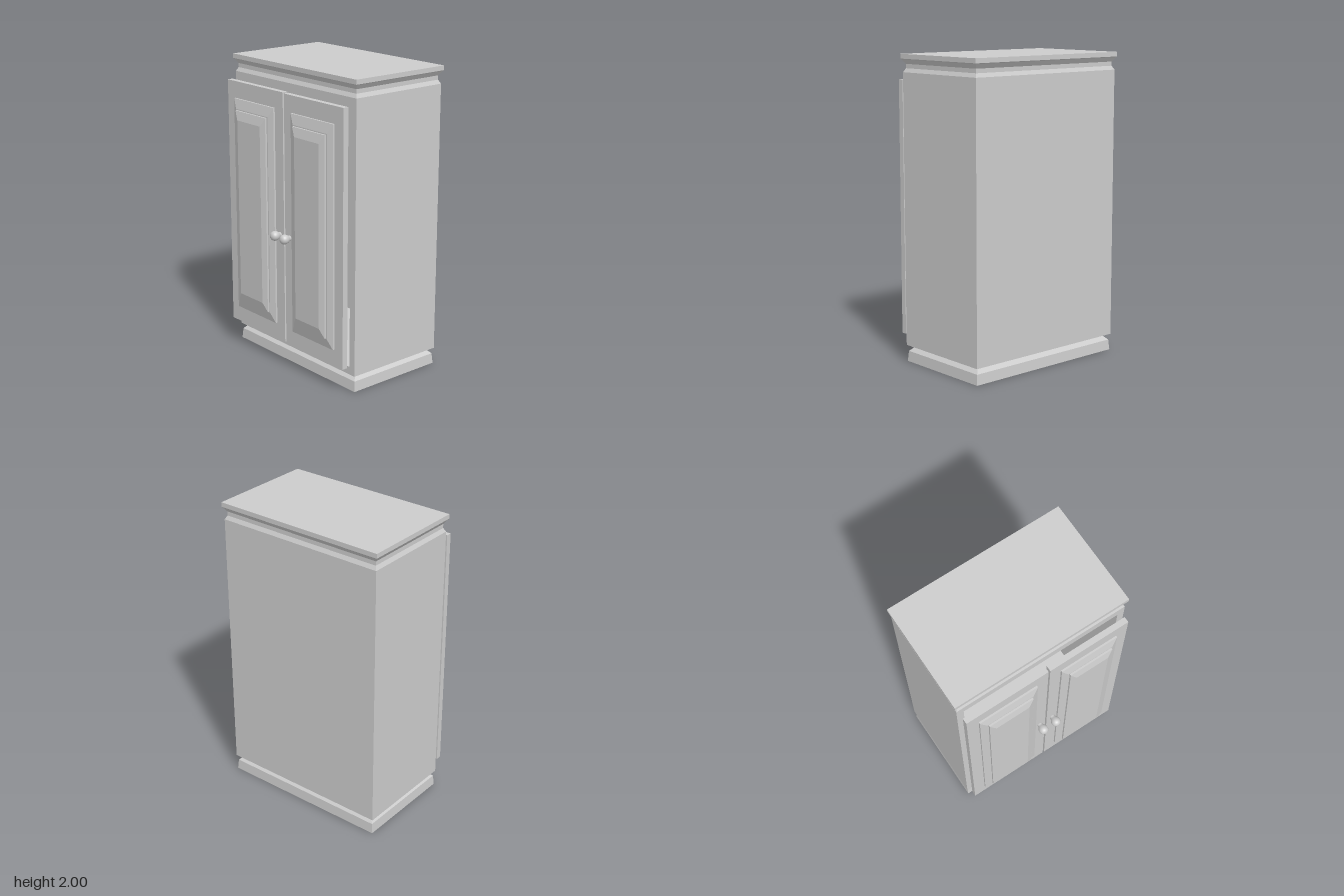
import * as THREE from 'three';

const material = new THREE.MeshStandardMaterial({ color: 0xcccccc });
const CENTRE_Z = -0.073, HALF_X = 0.593, HALF_Z = 0.353;

function mesh(name, geometry, parent) {
  const m = new THREE.Mesh(geometry, material);
  m.name = name;
  parent.add(m);
  return m;
}

// Closed, flat-shaded stack of rectangles; each ring is [halfX, y, halfZ]
function loft(rings) {
  const corners = rings.map(([x, y, z]) => [[x, y, z], [x, y, -z], [-x, y, -z], [-x, y, z]]);
  const pos = [];
  const quad = (a, b, c, d) => pos.push(...a, ...b, ...c, ...a, ...c, ...d);
  for (let r = 0; r < corners.length - 1; r++) {
    const low = corners[r], up = corners[r + 1];
    for (let i = 0; i < 4; i++) {
      const j = (i + 1) % 4;
      quad(low[i], low[j], up[j], up[i]);
    }
  }
  const first = corners[0], last = corners[corners.length - 1];
  quad(...last);
  quad(...[...first].reverse());
  const g = new THREE.BufferGeometry();
  g.setAttribute('position', new THREE.Float32BufferAttribute(pos, 3));
  g.computeVertexNormals();
  return g;
}

// Moulding running round the cabinet; profile points are [outward offset, y]
function moulding(name, profile, parent) {
  const g = loft(profile.map(([d, y]) => [HALF_X + d, y, HALF_Z + d]));
  mesh(name, g, parent).position.z = CENTRE_Z;
}

function rectangle(PathType, x0, y0, x1, y1) {
  return new PathType([
    new THREE.Vector2(x0, y0), new THREE.Vector2(x1, y0),
    new THREE.Vector2(x1, y1), new THREE.Vector2(x0, y1),
  ]);
}

// Door slab with two stepped, bevelled panels
function makeDoor(name, x, y, widthScale) {
  const door = new THREE.Group();
  door.name = name;
  const layer = (part, rings) => mesh(part, loft(rings).rotateX(Math.PI / 2), door);
  layer('doorSlab', [[0.286, 0.32, 0.833], [0.286, 0.358, 0.833]]);
  layer('outerPanel', [
    [0.205, 0.356, 0.723], [0.205, 0.37, 0.723], [0.165, 0.386, 0.66],
  ]);
  layer('innerPanel', [
    [0.156, 0.384, 0.653], [0.156, 0.398, 0.653], [0.118, 0.413, 0.595],
  ]);
  door.position.set(x, y, 0);
  door.scale.x = widthScale;
  return door;
}

export function createModel() {
  const cabinet = new THREE.Group();
  cabinet.name = 'cabinet';

  // Hollow carcass, open at the front behind the doors
  const bottom = 0.108, top = 1.885;
  const frame = rectangle(THREE.Shape, -HALF_X, bottom, HALF_X, top);
  frame.holes.push(rectangle(THREE.Path, -0.545, 0.16, 0.545, 1.82));
  const backDepth = 0.04;
  const carcass = new THREE.ExtrudeGeometry(frame, {
    depth: HALF_Z * 2 - backDepth, bevelEnabled: false,
  });
  mesh('carcass', carcass, cabinet).position.z = CENTRE_Z - HALF_Z + backDepth;
  const back = new THREE.BoxGeometry(HALF_X * 2, top - bottom, backDepth);
  mesh('backPanel', back, cabinet)
    .position.set(0, (bottom + top) / 2, CENTRE_Z - HALF_Z + backDepth / 2);

  // Plinth and cornice
  moulding('plinth', [[-0.004, 0], [-0.01, 0.068], [-0.038, 0.095], [0, bottom]], cabinet);
  moulding('cornice', [
    [0, top], [-0.014, 1.91], [-0.014, 1.937], [0.006, 1.965], [0.011, 1.97], [0.011, 2],
  ], cabinet);

  // Doors
  cabinet.add(makeDoor('rightDoor', -0.29, 1.008, 1));
  cabinet.add(makeDoor('leftDoor', 0.288, 1.003, 0.978));

  // Pear-shaped knobs, turned about the z axis
  const profile = new THREE.SplineCurve([
    [0.018, 0], [0.019, 0.014], [0.027, 0.028], [0.032, 0.045],
    [0.028, 0.063], [0.016, 0.074], [0, 0.078],
  ].map(([r, h]) => new THREE.Vector2(r, h))).getPoints(18);
  profile[profile.length - 1].x = 0;
  const knob = new THREE.LatheGeometry(profile, 24).rotateX(Math.PI / 2);
  for (const [name, x] of [['rightKnob', -0.045], ['leftKnob', 0.053]]) {
    mesh(name, knob, cabinet).position.set(x, 0.907, 0.355);
  }
  return cabinet;
}
